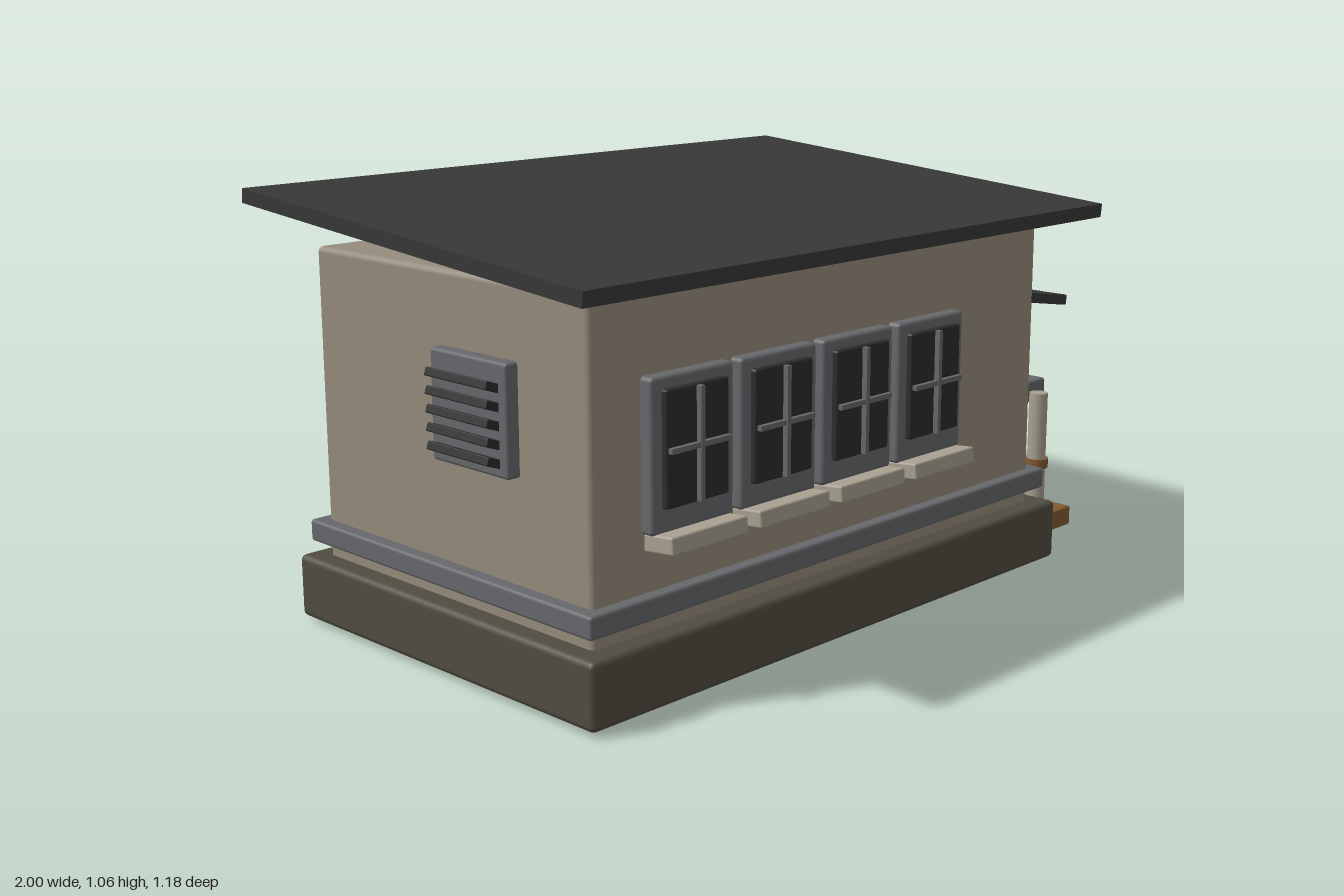
import * as THREE from 'three';
import { RoundedBoxGeometry } from 'three/addons/geometries/RoundedBoxGeometry.js';

const mat = (color) => new THREE.MeshStandardMaterial({ color });

export function createModel() {
  const model = new THREE.Group();
  const wall = mat(0x968b7d), stone = mat(0x504c40), dark = mat(0x383838), pane = mat(0x2c2c2c);
  const grey = mat(0x67686b), wood = mat(0x83592f), pale = mat(0xa8a090), step = mat(0x746a5d);

  // Box given by its min and max corners; r > 0 softens the edges
  function box(name, material, [x0, x1], [y0, y1], [z0, z1], r = 0.008, parent = model) {
    const w = x1 - x0, h = y1 - y0, d = z1 - z0;
    const geo = r > 0
      ? new RoundedBoxGeometry(w, h, d, 2, Math.min(r, w * 0.45, h * 0.45, d * 0.45))
      : new THREE.BoxGeometry(w, h, d);
    const mesh = new THREE.Mesh(geo, material);
    mesh.name = name;
    mesh.position.set((x0 + x1) / 2, (y0 + y1) / 2, (z0 + z1) / 2);
    parent.add(mesh);
    return mesh;
  }
  function group(name, x = 0, y = 0, z = 0) {
    const g = new THREE.Group();
    g.name = name;
    g.position.set(x, y, z);
    model.add(g);
    return g;
  }
  function rod(name, material, radius, length, x, y, z, parent = model) {
    const mesh = new THREE.Mesh(new THREE.CylinderGeometry(radius, radius, length, 20), material);
    mesh.name = name;
    mesh.position.set(x, y, z);
    parent.add(mesh);
    return mesh;
  }

  // Main body
  box('foundation', stone, [-0.935, 0.735], [0.01, 0.167], [-0.53, 0.53], 0.015);
  box('walls', wall, [-0.882, 0.68], [0.15, 0.925], [-0.475, 0.475], 0.015);
  box('trimBand', grey, [-0.915, 0.712], [0.203, 0.257], [-0.505, 0.505]);
  const roof = box('roof', dark, [-1, 0.8], [0.977, 1.012], [-0.593, 0.593], 0);
  roof.rotation.x = 0.083;
  for (const x of [-0.74, -0.31, 0.125, 0.56])
    box('footPad', stone, [x - 0.01, x + 0.01], [0, 0.03], [0.44, 0.48], 0);

  // Row of front windows
  for (let i = 0; i < 4; i++) {
    const w = group('frontWindow', -0.614 + i * 0.2733, 0, 0);
    box('windowFrame', grey, [-0.125, 0.125], [0.39, 0.735], [0.46, 0.508], 0.01, w);
    box('windowPane', pane, [-0.095, 0.095], [0.447, 0.708], [0.49, 0.523], 0.006, w);
    box('verticalMullion', grey, [-0.006, 0.006], [0.45, 0.705], [0.515, 0.537], 0, w);
    box('horizontalMullion', grey, [-0.09, 0.09], [0.57, 0.582], [0.515, 0.535], 0, w);
    const sill = box('windowSill', pale, [-0.117, 0.117], [0.354, 0.394], [0.465, 0.56], 0.005, w);
    sill.rotation.x = -0.1;
  }

  // Door with barred window and handle
  const door = group('door');
  box('doorFrame', dark, [0.66, 0.715], [0.178, 0.857], [-0.418, -0.054], 0.01, door);
  box('doorPanel', wood, [0.69, 0.74], [0.208, 0.825], [-0.393, -0.08], 0.01, door);
  box('doorWindow', pane, [0.72, 0.758], [0.54, 0.71], [-0.328, -0.143], 0.006, door);
  for (const z of [-0.297, -0.173])
    box('doorWindowBar', grey, [0.745, 0.773], [0.54, 0.71], [z - 0.007, z + 0.007], 0, door);
  rod('doorHandle', grey, 0.013, 0.07, 0.765, 0.474, -0.1, door).rotation.z = Math.PI / 2;

  // Entrance steps
  box('upperStep', step, [0.7, 0.997], [0.095, 0.156], [-0.437, -0.035]);
  box('lowerStep', step, [0.7, 0.91], [0.035, 0.093], [-0.437, -0.035]);

  // Serving hatch with awning and counter
  const hatch = group('servingHatch');
  box('hatchOpening', pane, [0.66, 0.72], [0.362, 0.64], [0.1, 0.395], 0.01, hatch);
  const awning = box('awning', dark, [0.678, 0.895], [0.682, 0.71], [0.058, 0.435], 0.004, hatch);
  awning.rotation.z = -0.165;
  box('counter', grey, [0.7, 0.91], [0.39, 0.45], [0.13, 0.365], 0.008, hatch);

  // Posts with wooden collars on a plinth
  const stand = group('postStand');
  box('plinth', wood, [0.72, 0.92], [0.044, 0.097], [0.092, 0.456], 0.005, stand);
  [0.4, 0.318, 0.235, 0.152].forEach((z, i) => {
    const top = i === 0 ? 0.426 : 0.42;
    rod('post', i % 2 ? grey : pale, 0.025, top - 0.08, 0.828, (top + 0.08) / 2, z, stand);
    rod('collar', wood, 0.032, 0.026, 0.828, 0.23, z, stand);
  });

  // Louvred vent on the far end wall
  const vent = group('vent');
  box('ventFrame', grey, [-0.915, -0.87], [0.5, 0.755], [-0.01, 0.25], 0.008, vent);
  for (let i = 0; i < 5; i++) {
    const y = 0.536 + i * 0.0415;
    const slat = box('ventSlat', pane, [-0.95, -0.9], [y - 0.01, y + 0.01], [0.015, 0.225], 0.003, vent);
    slat.rotation.z = -0.35;
  }
  return model;
}
